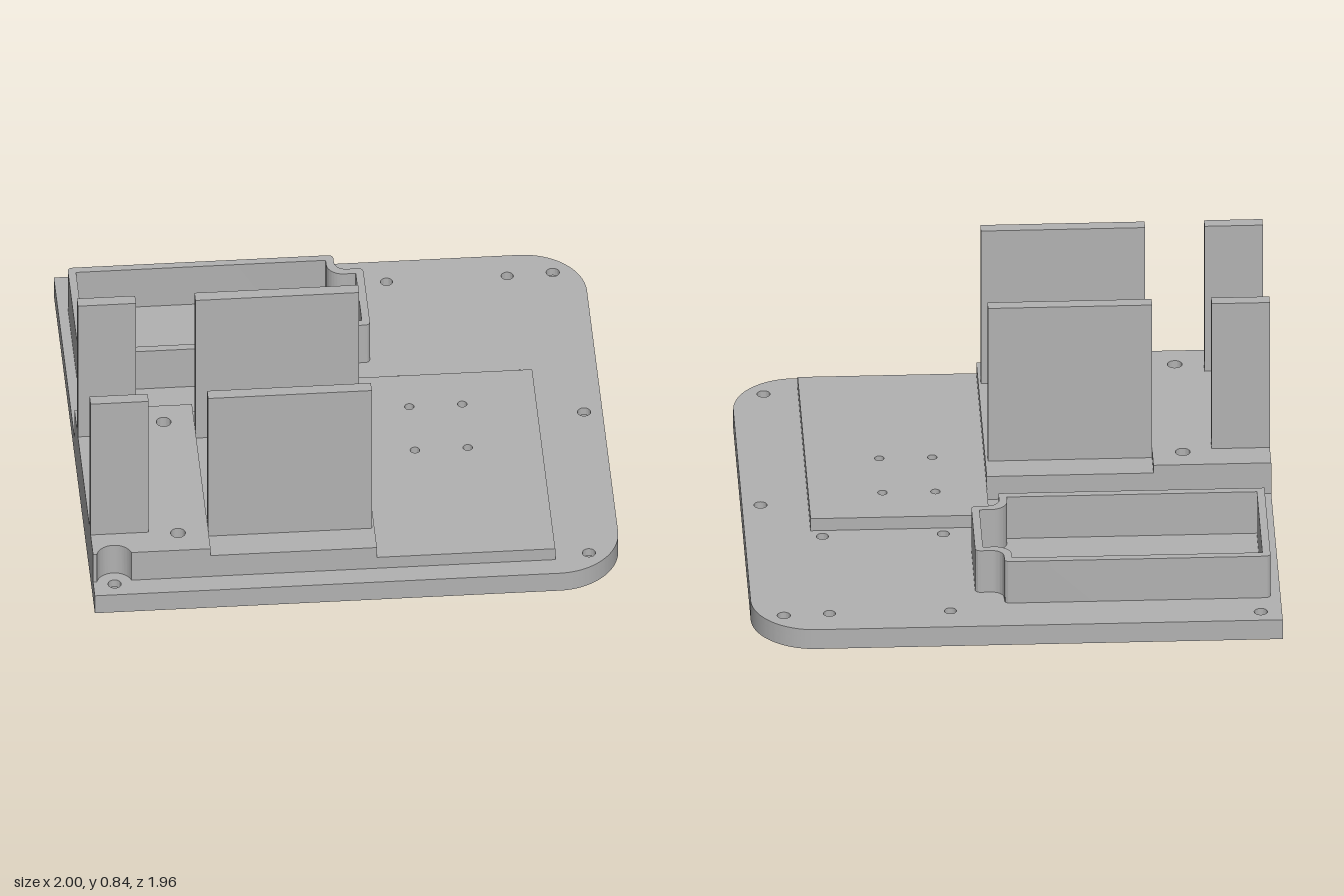
import * as THREE from 'three';
import { toCreasedNormals } from 'three/addons/utils/BufferGeometryUtils.js';

export function createModel() {
  const model = new THREE.Group();
  model.name = 'mountingPlate';
  const grey = new THREE.MeshStandardMaterial({ color: 0xb2b2b2 });
  grey.name = 'plain grey';

  function add(name, geometry) {
    const mesh = new THREE.Mesh(geometry, grey);
    mesh.name = name;
    model.add(mesh);
  }

  // Plan outlines are drawn with shape y = -z, then raised from y0 to y1
  function slab(name, shape, y0, y1, holes = []) {
    for (const [x, z, r] of holes) {
      shape.holes.push(new THREE.Path().absarc(x, -z, r, 0, Math.PI * 2, true));
    }
    let geometry = new THREE.ExtrudeGeometry(shape, { depth: y1 - y0, bevelEnabled: false, curveSegments: 20 });
    geometry = toCreasedNormals(geometry.rotateX(-Math.PI / 2), 0.6);
    add(name, geometry.translate(0, y0, 0));
  }

  function rect(x0, x1, z0, z1) {
    return new THREE.Shape([[x0, z1], [x1, z1], [x1, z0], [x0, z0]].map(([x, z]) => new THREE.Vector2(x, -z)));
  }

  function box(name, x0, x1, y0, y1, z0, z1) {
    const geometry = new THREE.BoxGeometry(x1 - x0, y1 - y0, z1 - z0);
    add(name, geometry.translate((x0 + x1) / 2, (y0 + y1) / 2, (z0 + z1) / 2));
  }

  // Base plate: square on one side, two rounded corners on the other
  function plateOutline() {
    const s = new THREE.Shape();
    const r = 0.24, d = 0.982;
    s.moveTo(-1, -d);
    s.lineTo(1 - r, -d);
    s.absarc(1 - r, -d + r, r, -Math.PI / 2, 0, false);
    s.absarc(1 - r, d - r, r, 0, Math.PI / 2, false);
    s.lineTo(-1, d);
    s.closePath();
    return s;
  }
  const screws = [[-0.92, -0.915], [0.88, -0.865], [0.93, 0], [0.88, 0.865], [-0.92, 0.915]];
  const padHoles = [];
  for (const x of [0.27, 0.47]) for (const z of [-0.018, 0.25]) padHoles.push([x, z, 0.018]);
  const blockHoles = [[-0.67, 0.105, 0.028], [-0.67, 0.79, 0.028]];
  const through = [...padHoles, ...blockHoles];
  for (const x of [0.25, 0.707]) for (const z of [-0.857, -0.255]) through.push([x, z, 0.023]);

  // The lower layer has wider counterbores for the screws
  slab('plateLower', plateOutline(), 0, 0.05, [...through, ...screws.map(([x, z]) => [x, z, 0.046])]);
  slab('plateUpper', plateOutline(), 0.05, 0.083, [...through, ...screws.map(([x, z]) => [x, z, 0.025])]);

  // Stepped blocks
  const block = new THREE.Shape();
  const cut = 0.068, front = 0.897, dz = 0.915 - front;
  const half = Math.sqrt(cut * cut - dz * dz), a = Math.asin(dz / cut);
  block.moveTo(-1, -front);
  block.lineTo(-0.92 - half, -front);
  block.absarc(-0.92, -0.915, cut, Math.PI - a, a, true);
  block.lineTo(-0.555, -front);
  block.lineTo(-0.555, -0.005);
  block.lineTo(-1, -0.005);
  block.closePath();
  slab('highBlock', block, 0.083, 0.215, blockHoles);
  box('middleBlock', -0.555, 0.075, 0.083, 0.182, 0.005, front);
  slab('lowPad', rect(0.075, 0.75, -0.21, front), 0.083, 0.135, padHoles);

  // Upright panels in two parallel rows
  for (const z of [0.125, 0.73]) {
    box('narrowPanel', -1, -0.78, 0.215, 0.84, z, z + 0.047);
    box('widePanel', -0.555, 0.065, 0.182, 0.84, z, z + 0.047);
  }

  // Open tray; t insets the outline from the outer wall to the inner one
  function trayOutline(t, c) {
    const s = new THREE.Shape();
    const left = -0.962 + t, x1 = 0.043 - t, x2 = 0.15 - t;
    const near = 0.273 + t, far = 0.807 - t;
    const r = 0.045 + t * 0.6, e = 0.368 + t, f = 0.718 - t;
    s.moveTo(left, near);
    s.lineTo(x1, near);
    s.lineTo(x1, e - r);
    s.absarc(x1 + r, e - r, r, Math.PI, Math.PI / 2, true);
    s.lineTo(x2 - c, e);
    s.quadraticCurveTo(x2, e, x2, e + c);
    s.lineTo(x2, f - c);
    s.quadraticCurveTo(x2, f, x2 - c, f);
    s.lineTo(x1 + r, f);
    s.absarc(x1 + r, f + r, r, -Math.PI / 2, -Math.PI, true);
    s.lineTo(x1, far - c);
    s.quadraticCurveTo(x1, far, x1 - c, far);
    s.lineTo(left + c, far);
    s.quadraticCurveTo(left, far, left, far - c);
    s.closePath();
    return s;
  }
  const tray = trayOutline(0, 0.022);
  tray.holes.push(trayOutline(0.03, 0.002));
  slab('trayWall', tray, 0.083, 0.262);

  return model;
}
